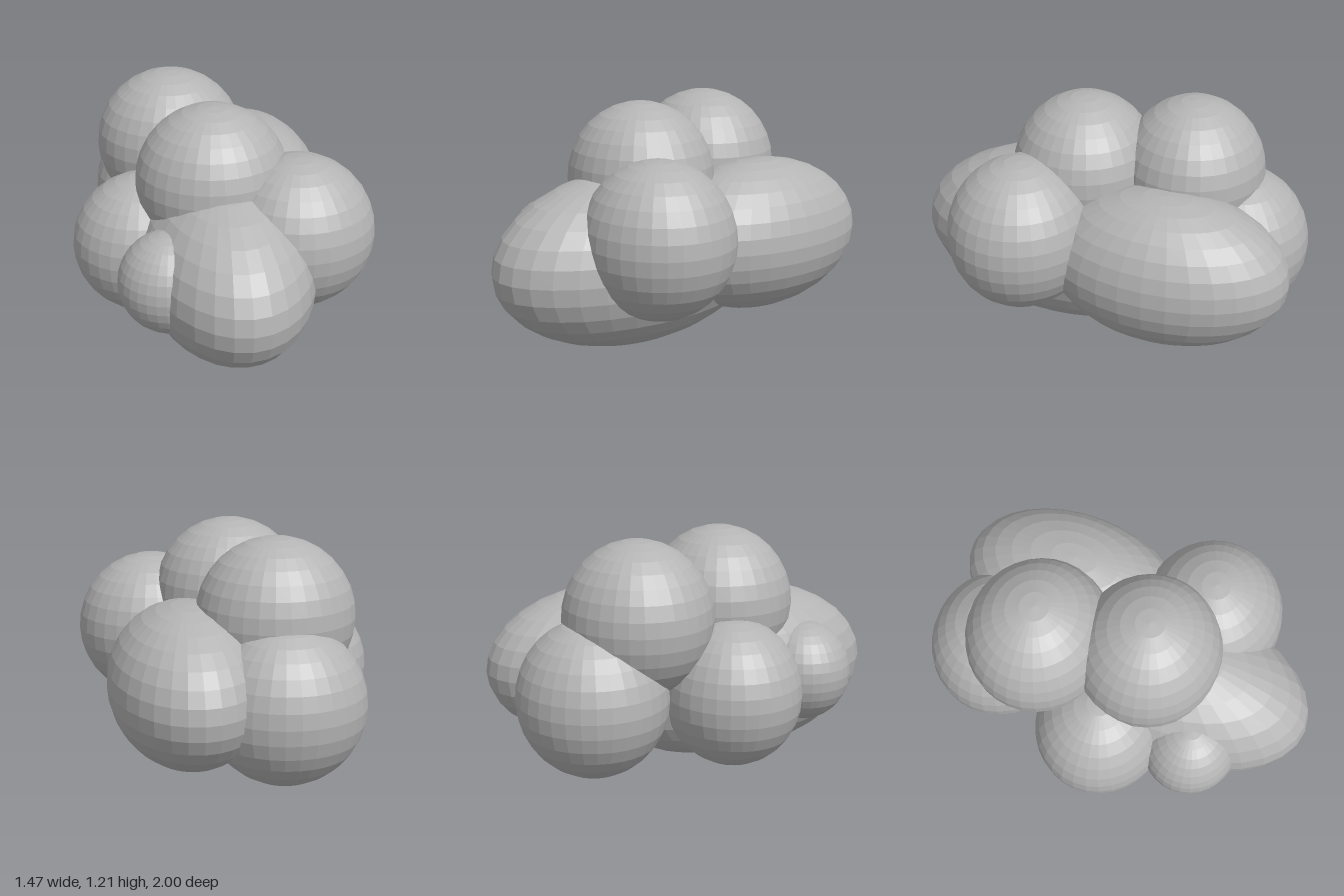
import * as THREE from 'three';

// Cluster of overlapping faceted ellipsoids: name, centre, radii
const LOBES = [
  ['frontLobe', [0, 0.447, 0.21], [0.445, 0.445, 0.79]],
  ['frontLeftLobe', [0.345, 0.612, 0.33], [0.385, 0.385, 0.365]],
  ['frontTopLobe', [-0.04, 0.828, 0.137], [0.38, 0.38, 0.363]],
  ['rearTopLobe', [-0.175, 0.828, -0.39], [0.383, 0.38, 0.363]],
  ['rearLeftLobe', [0.25, 0.512, -0.39], [0.385, 0.386, 0.61]],
  ['rearRightLobe', [-0.175, 0.467, -0.635], [0.385, 0.385, 0.365]],
  ['rightLobe', [-0.37, 0.45, 0.02], [0.365, 0.365, 0.338]],
  ['smallFrontRightLobe', [-0.3, 0.47, 0.48], [0.255, 0.255, 0.242]],
];

export function createModel() {
  const group = new THREE.Group();
  group.name = 'lobeCluster';
  const grey = new THREE.MeshStandardMaterial({ color: 0xb4b4b4, flatShading: true });
  grey.name = 'grey';

  for (const [name, centre, radii] of LOBES) {
    const geometry = new THREE.SphereGeometry(1, 32, 16).scale(...radii);
    const lobe = new THREE.Mesh(geometry, grey);
    lobe.name = name;
    lobe.position.set(...centre);
    group.add(lobe);
  }
  return group;
}
